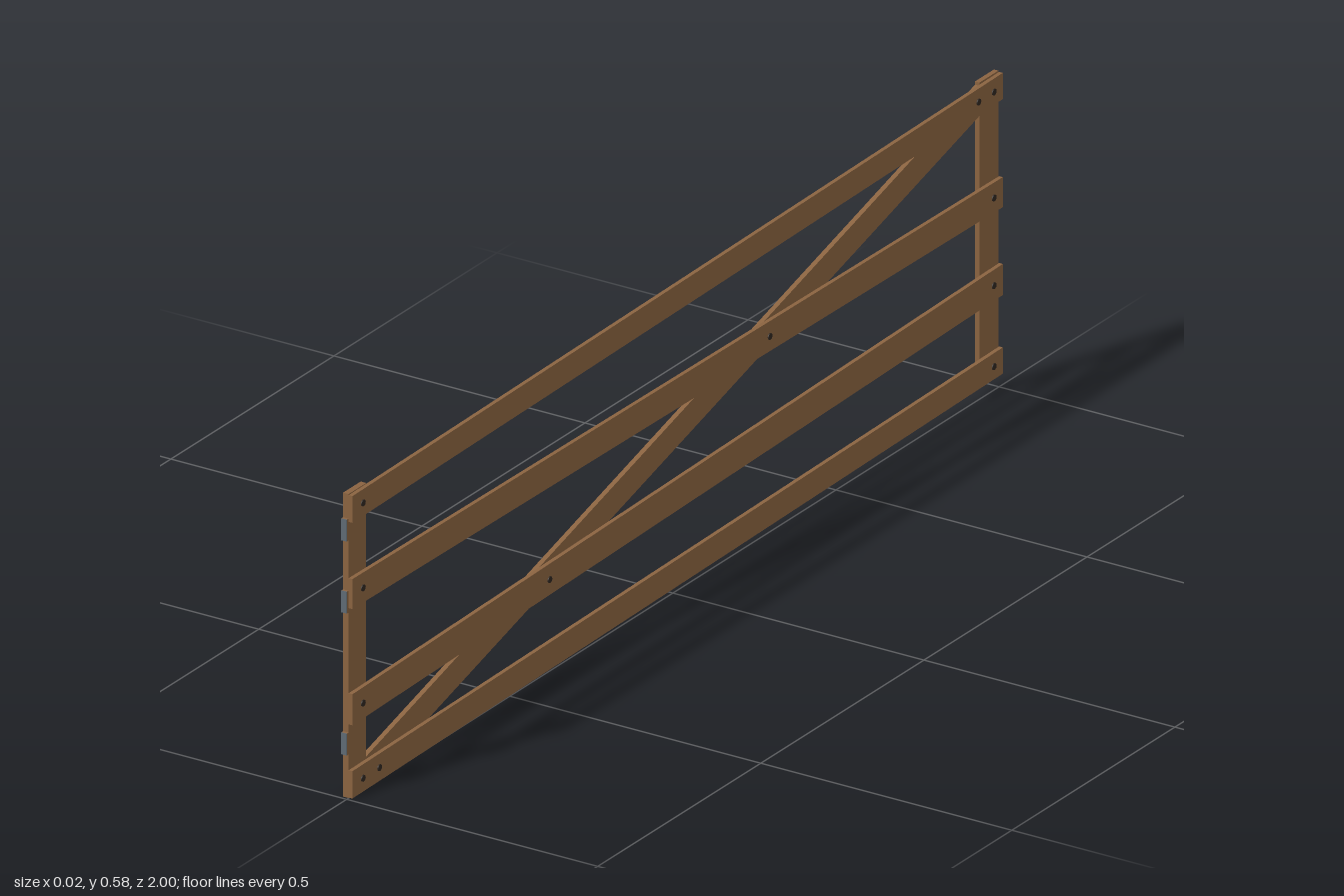
import * as THREE from 'three';

export function createModel() {
  const gate = new THREE.Group();
  gate.name = 'fieldGate';
  const wood = new THREE.MeshStandardMaterial({ name: 'wood', color: 0x8a6340 });
  const steel = new THREE.MeshStandardMaterial({ name: 'hinge steel', color: 0x5f6b74 });
  const iron = new THREE.MeshStandardMaterial({ name: 'bolt iron', color: 0x2e2620 });

  const add = (name, geometry, material) => {
    const mesh = new THREE.Mesh(geometry, material);
    mesh.name = name;
    gate.add(mesh);
    return mesh;
  };

  // Plank from z = za (near end) to z = zb, with plumb-cut ends, between x0 and x1
  const plank = (name, [za, bottomA, topA], [zb, bottomB, topB], x0, x1) => {
    const shape = new THREE.Shape([
      new THREE.Vector2(-za, bottomA), new THREE.Vector2(-zb, bottomB),
      new THREE.Vector2(-zb, topB), new THREE.Vector2(-za, topA),
    ]);
    const geometry = new THREE.ExtrudeGeometry(shape, { depth: x1 - x0, bevelEnabled: false });
    geometry.rotateY(Math.PI / 2).translate(x0, 0, 0);
    return add(name, geometry, wood);
  };

  // Bolt along x with its head standing proud of the rails
  const bolt = (y, z, x0 = 0.005) => {
    const x1 = 0.0095;
    const geometry = new THREE.CylinderGeometry(0.006, 0.006, x1 - x0, 10);
    geometry.rotateZ(-Math.PI / 2).translate((x0 + x1) / 2, y, z);
    add('bolt', geometry, iron);
  };

  // Upright posts
  plank('hingePost', [0.994, 0, 0.557], [0.94, 0, 0.557], -0.011, 0);
  plank('latchPost', [-0.94, 0.027, 0.58], [-0.998, 0.027, 0.58], -0.009, 0);

  // Diagonal brace between the posts
  plank('brace', [0.94, 0.001, 0.056], [-0.94, 0.519, 0.574], -0.009, 0);

  // Uneven rails: bottom and top at the hinge end, then at the latch end
  const rails = [
    [0.001, 0.051, 0.026, 0.074],
    [0.135, 0.192, 0.17, 0.227],
    [0.348, 0.403, 0.331, 0.386],
    [0.506, 0.555, 0.529, 0.577],
  ];
  const railMiddle = (i, z) => {
    const [a, b, c, d] = rails[i];
    return THREE.MathUtils.lerp(a + b, c + d, (0.994 - z) / 1.994) / 2;
  };
  rails.forEach(([a, b, c, d], i) => {
    plank('rail', [0.994, a, b], [-1, c, d], 0, 0.0075);
    for (const z of [0.962, -0.972]) bolt(railMiddle(i, z), z);
  });

  // Bolts at the brace ends and where it crosses the middle rails
  bolt(railMiddle(0, 0.912), 0.912);
  bolt(railMiddle(3, -0.925), -0.925);
  bolt(railMiddle(1, 0.39), 0.39, -0.0095);
  bolt(railMiddle(2, -0.285), -0.285, -0.0095);

  // Hinge pads with steel facing plates
  for (const y of [0.1, 0.36, 0.492]) {
    add('hingePad', new THREE.BoxGeometry(0.011, 0.04, 0.006), wood).position.set(-0.0055, y, 0.996);
    add('hingePlate', new THREE.BoxGeometry(0.011, 0.04, 0.001), steel).position.set(-0.0055, y, 0.9995);
  }
  return gate;
}
